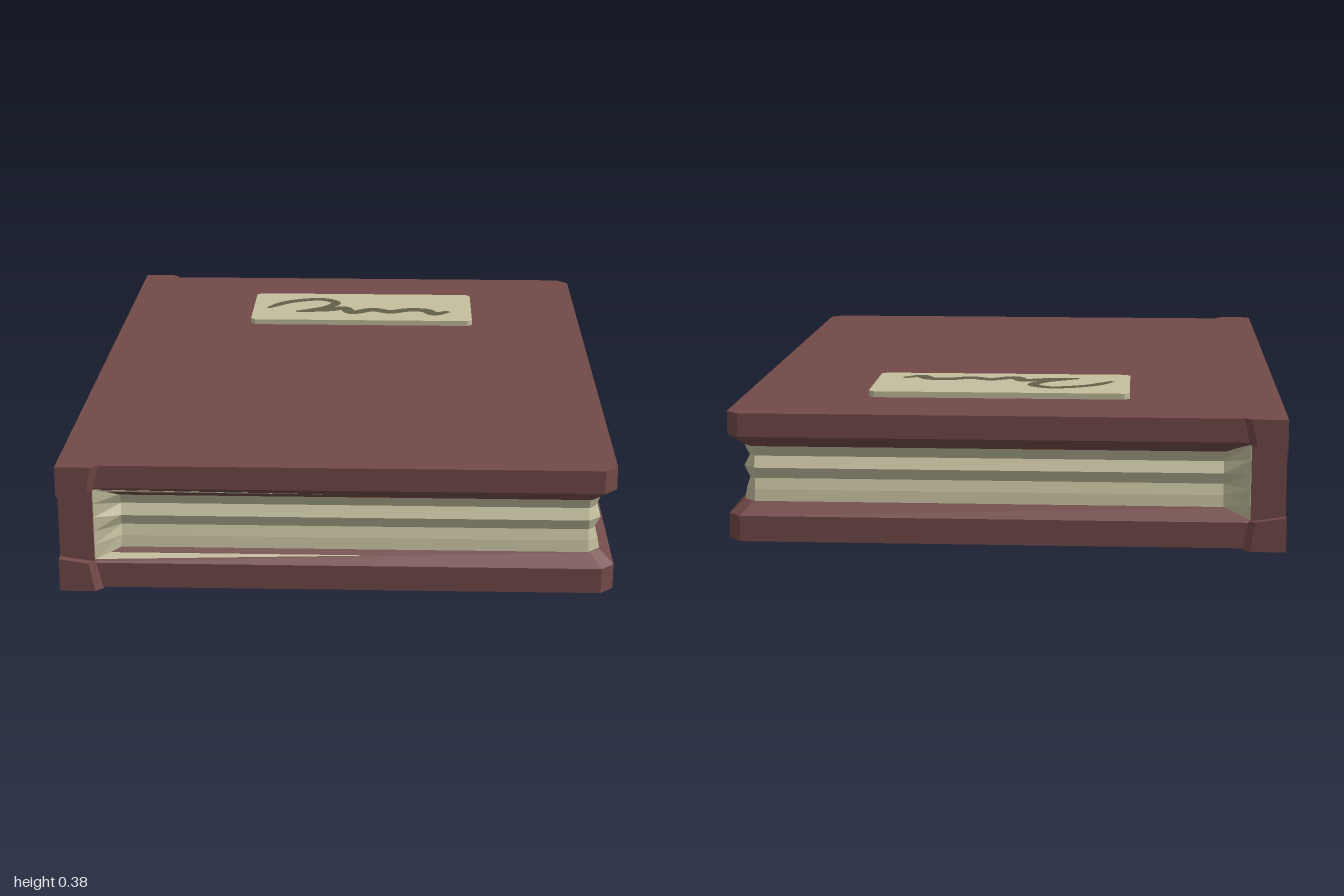
import * as THREE from 'three';

const mat = (name, color, extra = {}) =>
  Object.assign(new THREE.MeshStandardMaterial({ color, ...extra }), { name });

// Closed solid through equal-length rings of [x, y, z], listed from bottom to top
function loft(rings) {
  const n = rings[0].length, last = (rings.length - 1) * n, index = [];
  for (let r = 0; r < rings.length - 1; r++) {
    for (let i = 0; i < n; i++) {
      const a = r * n + i, b = r * n + (i + 1) % n;
      index.push(a, b, b + n, a, b + n, a + n);
    }
  }
  for (let i = 1; i < n - 1; i++) {
    index.push(0, i + 1, i, last, last + i, last + i + 1);
  }
  const g = new THREE.BufferGeometry();
  g.setAttribute('position', new THREE.Float32BufferAttribute(rings.flat(2), 3));
  g.setIndex(index);
  const flat = g.toNonIndexed();
  flat.computeVertexNormals();
  return flat;
}

// Mirrors a half outline of [x, z] across z = 0 and sets it at height y
const ring = (half, y) => [
  ...half.map(([x, z]) => [x, y, z]),
  ...[...half].reverse().map(([x, z]) => [x, y, -z]),
];

// Flat ribbon lying in the xz plane, tapering at both ends
function ribbon(points, y, width, steps = 70) {
  const curve = new THREE.CatmullRomCurve3(points.map(([x, z]) => new THREE.Vector3(x, y, z)));
  const pos = [], index = [];
  for (let i = 0; i <= steps; i++) {
    const t = i / steps, p = curve.getPoint(t), d = curve.getTangent(t);
    const w = width * (0.5 + 0.5 * Math.min(1, 8 * t, 8 * (1 - t))) / 2;
    pos.push(p.x - d.z * w, y, p.z + d.x * w, p.x + d.z * w, y, p.z - d.x * w);
    if (i < steps) {
      const a = 2 * i;
      index.push(a, a + 2, a + 1, a + 1, a + 2, a + 3);
    }
  }
  const g = new THREE.BufferGeometry();
  g.setAttribute('position', new THREE.Float32BufferAttribute(pos, 3));
  g.setIndex(index);
  g.computeVertexNormals();
  return g;
}

export function createModel() {
  const book = new THREE.Group();
  book.name = 'book';
  const leather = mat('leather', 0x734a49);
  const paper = mat('paper', 0xc4bf9e);
  const ink = mat('ink', 0x636149, { side: THREE.DoubleSide });
  const add = (name, geometry, material) => {
    const mesh = new THREE.Mesh(geometry, material);
    mesh.name = name;
    book.add(mesh);
    return mesh;
  };

  // Cover boards with cut fore-edge corners and a bevel towards the pages
  const outer = [[-0.765, 0.978], [0.73, 0.978], [0.766, 0.942]];
  const inner = [[-0.7, 0.94], [0.7, 0.94], [0.727, 0.912]];
  add('bottomCover', loft([ring(outer, 0.004), ring(outer, 0.076), ring(inner, 0.11)]), leather);
  add('topCover', loft([ring(inner, 0.265), ring(outer, 0.298), ring(outer, 0.364)]), leather);

  // Spine wall
  const spineHalf = [[-0.767, 0.978], [-0.672, 0.978]];
  add('spine', loft([ring(spineHalf, 0.06), ring(spineHalf, 0.31)]), leather);

  // Raised bands along the spine edges, narrower towards the middle
  const wide = [[-0.768, 1], [-0.67, 1], [-0.65, 0.98]];
  const narrow = [[-0.768, 1], [-0.685, 1], [-0.668, 0.98]];
  const tilt = (r, dy) => r.map(([x, y, z]) => [x, y + (x + 0.668) * dy, z]);
  add('bottomSpineBand', loft([ring(wide, 0), tilt(ring(narrow, 0.08), -0.15)]), leather);
  add('topSpineBand', loft([tilt(ring(narrow, 0.292), 0.15), ring(wide, 0.366)]), leather);

  // Page block with folded edges, flaring out where it meets the spine
  const folds = [
    [0.108, 0.008], [0.142, 0.002], [0.172, -0.008],
    [0.204, 0.008], [0.235, -0.008], [0.267, 0.008],
  ];
  const pages = folds.map(([y, o]) => {
    const half = [
      [-0.69, 0.972], [-0.67, 0.972], [-0.6, 0.932 + o],
      [0.695, 0.932 + o], [0.72 + o, 0.907],
    ];
    return ring(half, y).map(([x, h, z]) =>
      [x, x < -0.65 ? 0.1875 + (h - 0.1875) * 1.3 : h, z]);
  });
  add('pages', loft(pages), paper);

  // Label plate with clipped corners
  const c = 0.015, lx = 0.373, lz = 0.162;
  const labelHalf = [[-lx, lz - c], [-lx + c, lz], [lx - c, lz], [lx, lz - c]];
  const label = add('label', loft([ring(labelHalf, 0.362), ring(labelHalf, 0.381)]), paper);
  label.position.set(0.033, 0, -0.548);

  // Abstract ink flourish on the label
  add('inkLoop', ribbon([
    [-0.29, -0.52], [-0.22, -0.595], [-0.11, -0.63], [-0.06, -0.59],
    [-0.09, -0.53], [-0.19, -0.475],
  ], 0.3835, 0.034), ink);
  add('inkWave', ribbon([
    [-0.19, -0.475], [-0.08, -0.5], [-0.03, -0.52], [0, -0.47], [0.07, -0.505], [0.13, -0.48],
    [0.19, -0.505], [0.25, -0.5], [0.28, -0.46], [0.33, -0.49],
  ], 0.384, 0.042), ink);

  return book;
}
